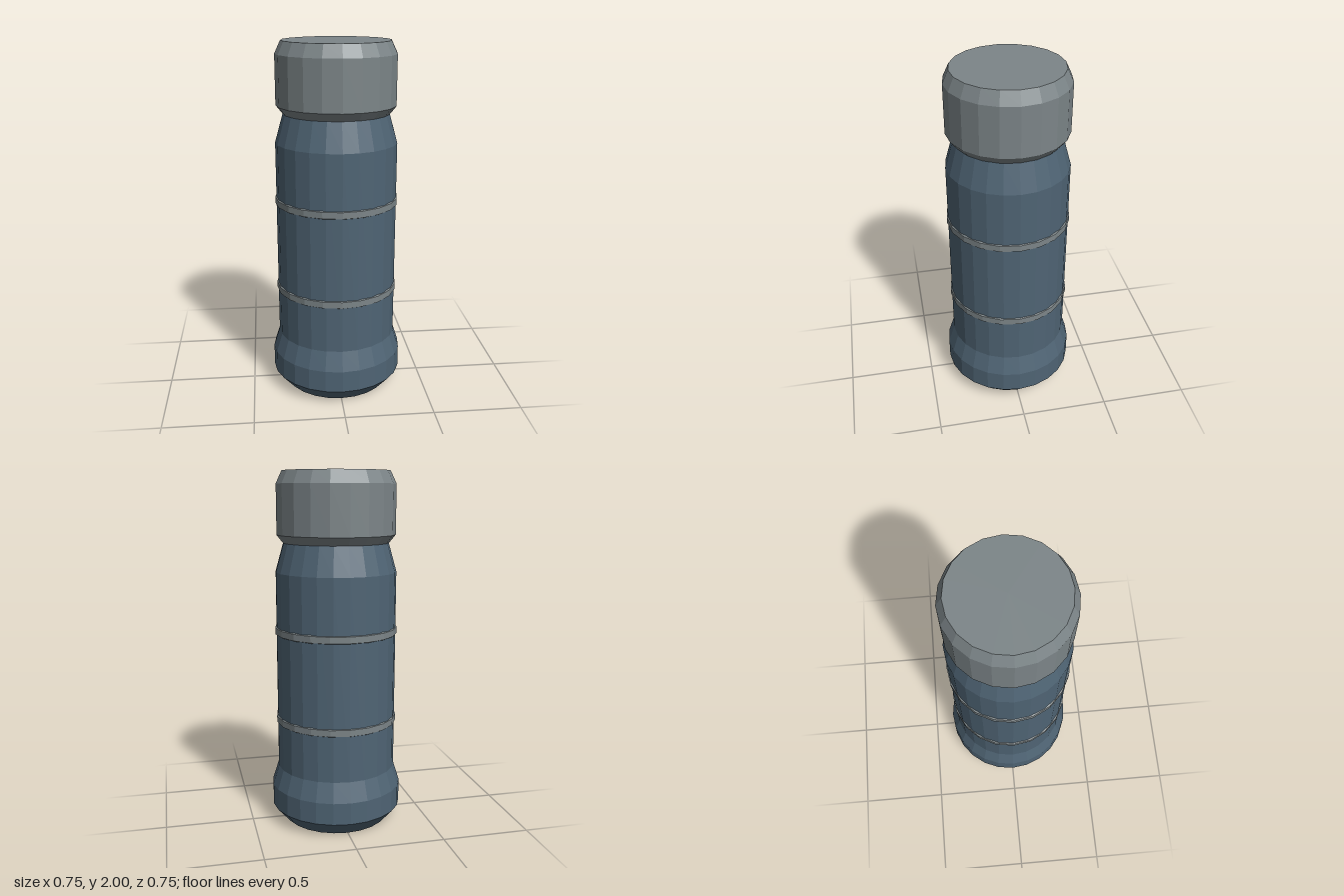
import * as THREE from 'three';

// Faceted surface of revolution from [radius, height] pairs, bottom to top
function turned(name, profile, sides, material) {
  const points = profile.map(([r, y]) => new THREE.Vector2(r, y));
  const mesh = new THREE.Mesh(new THREE.LatheGeometry(points, sides), material);
  mesh.name = name;
  return mesh;
}

export function createModel() {
  const blue = new THREE.MeshStandardMaterial({ color: 0x4f6474, flatShading: true });
  blue.name = 'slate blue';
  const grey = new THREE.MeshStandardMaterial({ color: 0x7c8588, flatShading: true });
  grey.name = 'grey';

  const group = new THREE.Group();
  group.name = 'flask';

  // Body with a flared, bevelled foot and a tapered shoulder
  group.add(turned('body', [
    [0, 0], [0.3, 0], [0.375, 0.085], [0.375, 0.21], [0.34, 0.32],
    [0.34, 1.45], [0.295, 1.61], [0, 1.61],
  ], 24, blue));

  // Cap, bevelled at both ends
  group.add(turned('cap', [
    [0, 1.61], [0.297, 1.61], [0.333, 1.655], [0.333, 1.93], [0.3, 2], [0, 2],
  ], 20, grey));

  // Thin bands around the body
  for (const [name, y] of [['lowerBand', 0.605], ['upperBand', 1.12]]) {
    const band = turned(name, [
      [0.328, -0.028], [0.347, -0.018], [0.347, 0.018], [0.328, 0.028],
    ], 20, grey);
    band.position.y = y;
    group.add(band);
  }
  return group;
}
